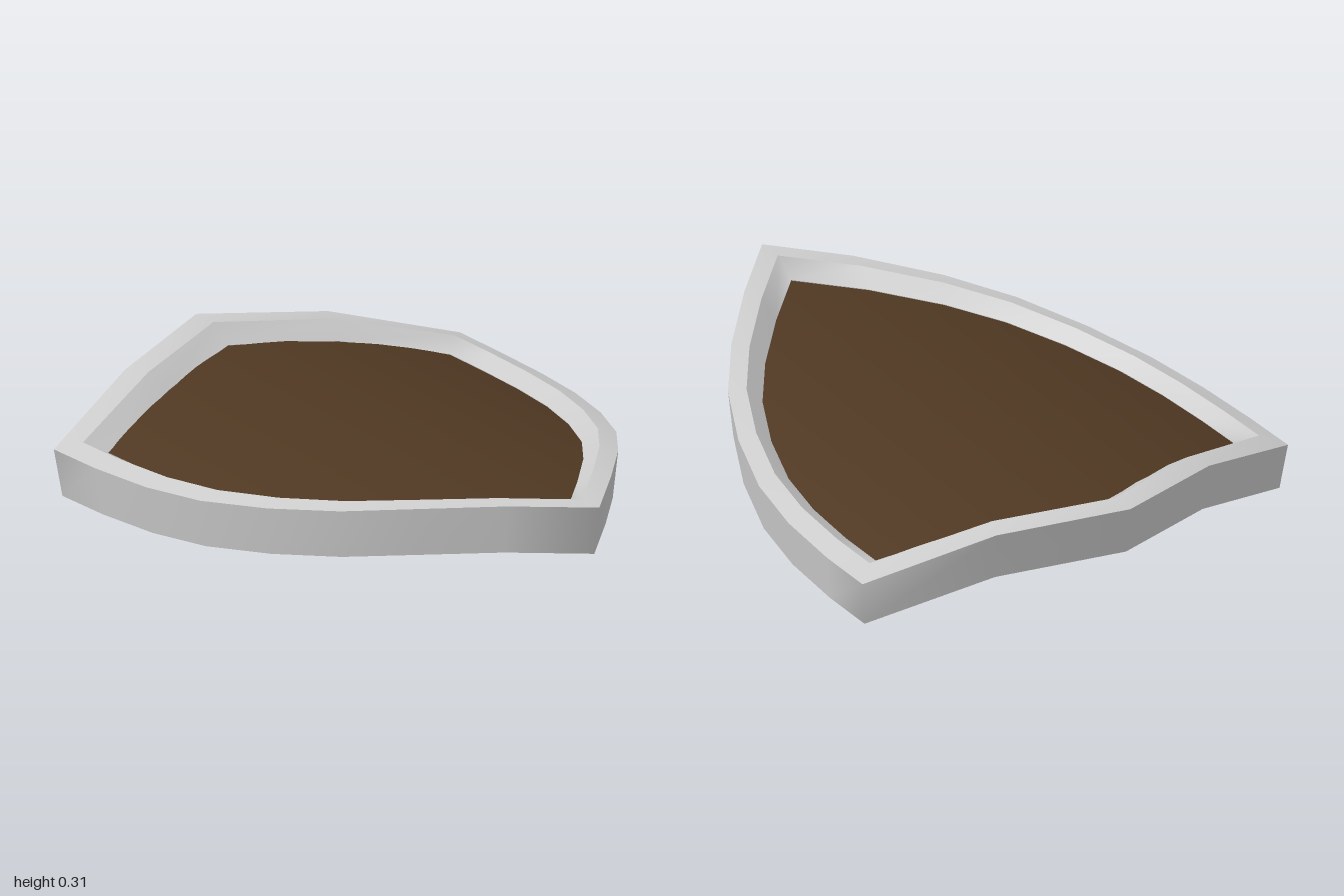
import * as THREE from 'three';

const BOW = 0.258; // the shield bends down towards its sides

// Half outline (x, z): from the front tip along the curved side to the corner
const side = [
  [0, 1], [0.2, 0.8], [0.39, 0.59], [0.53, 0.4], [0.64, 0.18],
  [0.72, -0.05], [0.76, -0.27], [0.777, -0.5], [0.78, -0.7],
];
const half = [...side, [0.39, -0.85], [0, -1]];
const mirror = (pts) => pts.slice(1).reverse().map(([x, z]) => [-x, z]);
const outline = [...half, ...mirror(half.slice(0, -1))];

// Rim section (scale of the outline, height at the centre line)
const section = [
  [1, 0.309], [0.915, 0.309], [0.842, 0.257],
  [0.842, 0.2], [0.89, 0.153], [0.975, 0.15],
];

const bowed = (x, y, z) => [x, y - BOW * x * x, z];

// Smooth strip of quads between two rows of points
function strip(rowA, rowB, closed, material, name) {
  const n = rowA.length;
  const index = [];
  for (let i = 0; i < (closed ? n : n - 1); i++) {
    const j = (i + 1) % n;
    index.push(i, j, n + j, i, n + j, n + i);
  }
  const geo = new THREE.BufferGeometry();
  geo.setAttribute('position', new THREE.Float32BufferAttribute([...rowA, ...rowB].flat(), 3));
  geo.setIndex(index);
  geo.computeVertexNormals();
  const mesh = new THREE.Mesh(geo, material);
  mesh.name = name;
  return mesh;
}

export function createModel() {
  const model = new THREE.Group();
  model.name = 'shield';
  const metal = new THREE.MeshStandardMaterial({ color: 0xcccccc });
  const wood = new THREE.MeshStandardMaterial({ color: 0x4f3822 });

  // Rim: one closed band for each side of the section, sharp between bands
  const rim = new THREE.Group();
  rim.name = 'rim';
  const bands = ['rimTop', 'rimInnerSlope', 'rimInnerWall', 'rimLowerSlope', 'rimBottom', 'rimOuterWall'];
  const rings = section.map(([s, y]) => outline.map(([x, z]) => bowed(x * s, y, z * s)));
  bands.forEach((name, k) => rim.add(strip(rings[k], rings[(k + 1) % rings.length], true, metal, name)));
  model.add(rim);

  // Panel: columns running front to back, with an upper and a lower face
  const panel = new THREE.Group();
  panel.name = 'panel';
  const S = 0.845;
  const columns = [...mirror(side), ...side];
  const front = (y) => columns.map(([x, z]) => bowed(x * S, y, z * S));
  const back = (y) => columns.map(([x]) => bowed(x * S, y, (-1 + (Math.abs(x) * 0.3) / 0.78) * S));
  panel.add(strip(front(0.255), back(0.255), false, wood, 'panelTop'));
  panel.add(strip(back(0.202), front(0.202), false, wood, 'panelUnderside'));
  model.add(panel);

  return model;
}
